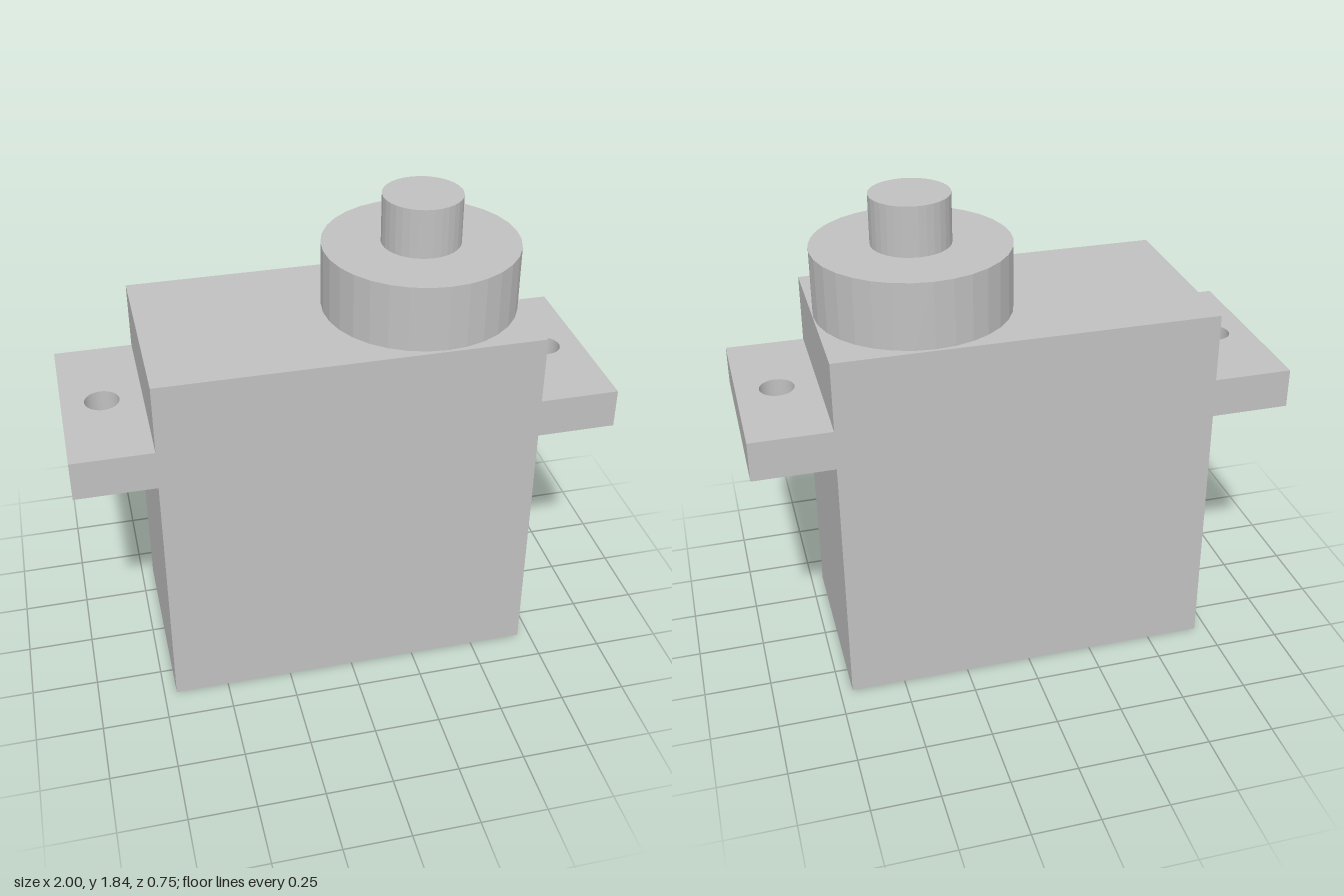
import * as THREE from 'three';

export function createModel() {
  const group = new THREE.Group();
  const grey = new THREE.MeshStandardMaterial({ color: 0xc0c0c0 });
  grey.name = 'light grey';
  // flat facets on the round parts
  const facet = (geometry) => {
    const g = geometry.index ? geometry.toNonIndexed() : geometry;
    g.computeVertexNormals();
    return g;
  };
  const add = (name, geometry, x, y, z = 0) => {
    const mesh = new THREE.Mesh(geometry, grey);
    mesh.name = name;
    mesh.position.set(x, y, z);
    group.add(mesh);
    return mesh;
  };

  const bodyX = 0.703, depth = 0.75, shaftX = 0.338;

  // Main case
  add('case', new THREE.BoxGeometry(bodyX * 2, 1.402, depth), 0, 0.701);

  // Gear housing and output shaft
  add('gearHousing', facet(new THREE.CylinderGeometry(0.363, 0.363, 0.25, 32)), shaftX, 1.525);
  add('outputShaft', facet(new THREE.CylinderGeometry(0.146, 0.146, 0.185, 32)), shaftX, 1.7425);

  // Mounting tabs, each with a screw hole
  const tabLength = 1 - bodyX, tabHeight = 0.15;
  for (const side of [-1, 1]) {
    const w = tabLength / 2, d = depth / 2;
    const shape = new THREE.Shape([
      new THREE.Vector2(-w, -d), new THREE.Vector2(w, -d),
      new THREE.Vector2(w, d), new THREE.Vector2(-w, d),
    ]);
    const hole = new THREE.Path();
    hole.absarc(0, 0, 0.064, 0, Math.PI * 2, true);
    shape.holes.push(hole);
    const tab = new THREE.ExtrudeGeometry(shape, { depth: tabHeight, bevelEnabled: false, curveSegments: 32 });
    tab.rotateX(-Math.PI / 2);
    add(side > 0 ? 'leftMountingTab' : 'rightMountingTab', tab, side * (bodyX + w), 0.992);
  }

  return group;
}
